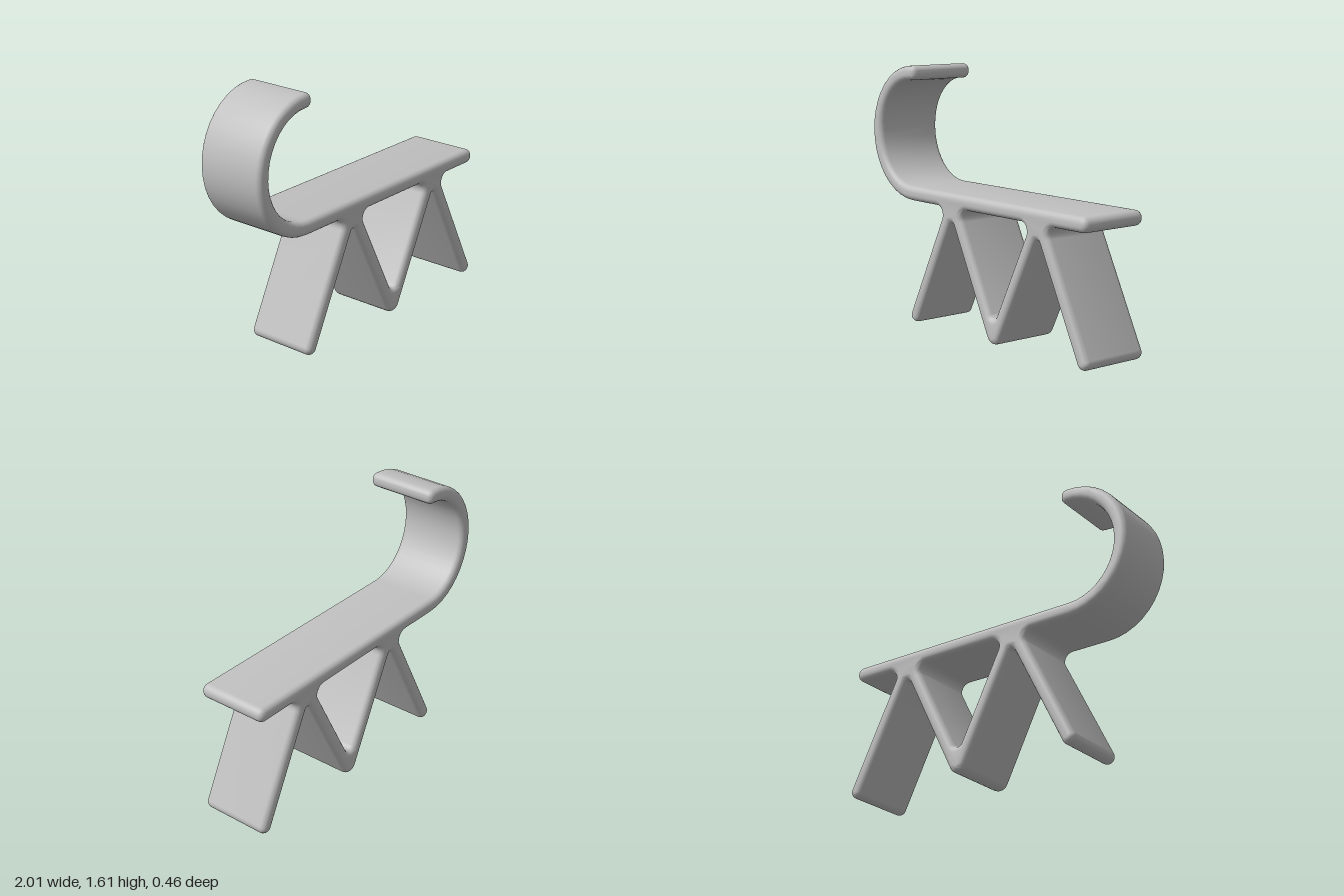
import * as THREE from 'three';
import { mergeVertices, toCreasedNormals } from 'three/addons/utils/BufferGeometryUtils.js';

const H = 0.043;          // half thickness of the legs
const W = H * Math.sqrt(1.25); // half width of a leg measured along x
const APEX = 0.8;         // height where the leg axes meet under the seat
const UNDER = 0.77;       // underside of the seat

// Turns corners [x, y, radius] into a smooth list of points
function roundCorners(corners, steps = 7) {
  const out = [];
  const n = corners.length;
  corners.forEach(([x, y, r], i) => {
    const p = new THREE.Vector2(x, y);
    if (!r) { out.push(p); return; }
    const [ax, ay] = corners[(i + n - 1) % n];
    const [bx, by] = corners[(i + 1) % n];
    const a = new THREE.Vector2(ax, ay).sub(p).normalize();
    const b = new THREE.Vector2(bx, by).sub(p).normalize();
    const half = Math.acos(THREE.MathUtils.clamp(a.dot(b), -1, 1)) / 2;
    const t = r / Math.tan(half);
    const c = a.clone().add(b).normalize().multiplyScalar(r / Math.sin(half)).add(p);
    const s = a.multiplyScalar(t).add(p).sub(c);
    const e = b.multiplyScalar(t).add(p).sub(c);
    const a0 = Math.atan2(s.y, s.x);
    let sweep = Math.atan2(e.y, e.x) - a0;
    if (sweep > Math.PI) sweep -= 2 * Math.PI;
    if (sweep < -Math.PI) sweep += 2 * Math.PI;
    for (let k = 0; k <= steps; k++) {
      const g = a0 + sweep * k / steps;
      out.push(new THREE.Vector2(c.x + r * Math.cos(g), c.y + r * Math.sin(g)));
    }
  });
  return out;
}

// Half ellipse of the curled backrest, angles in degrees
function curl(rx, ry, from, to, steps = 20) {
  const pts = [];
  for (let k = 0; k <= steps; k++) {
    const g = THREE.MathUtils.degToRad(from + (to - from) * k / steps);
    pts.push([-0.6 + rx * Math.cos(g), 1.19 + ry * Math.sin(g), 0]);
  }
  return pts;
}

// The two end corners of a free leg; side is -1 for a leg leaning to -x
function foot(apexX, side) {
  const d = new THREE.Vector2(side, -2).normalize();
  const nrm = new THREE.Vector2(-d.y, d.x);
  const y = H + 0.001;
  const c = new THREE.Vector2(apexX + side * (APEX - y) / 2, y).addScaledVector(d, H);
  return [-1, 1].map((k) => [c.x + nrm.x * H * k, c.y + nrm.y * H * k, H - 0.001]);
}

export function createModel() {
  const group = new THREE.Group();
  group.name = 'bench';
  const grey = new THREE.MeshStandardMaterial({ color: 0xc0c0c0 });
  grey.name = 'light grey';

  const a = -0.195, v = 0.195, b = 0.585; // leg apexes and the foot between them
  const off = (APEX - UNDER) / 2 + W;

  // Side profile: zigzag legs, seat and curled backrest in one ribbon
  const outline = roundCorners([
    [a - off, UNDER, 0.05],
    ...foot(a, -1),
    [a, APEX - 2 * W, 0.02],
    [v, 0.02 - 2 * W, 0.062],
    [b, APEX - 2 * W, 0.02],
    ...foot(b, 1),
    [b + off, UNDER, 0.05],
    [0.992, UNDER, 0.043], [0.992, 0.86, 0.043],
    ...curl(0.31, 0.33, 270, 90),
    [-0.558, 1.522, 0.038], [-0.558, 1.606, 0.038],
    ...curl(0.4, 0.42, 90, 270),
  ]);
  const shape = new THREE.Shape(outline);

  // Triangular opening between the middle legs
  shape.holes.push(new THREE.Path(roundCorners([
    [a + off, UNDER, 0.05],
    [b - off, UNDER, 0.05],
    [v, 0.02 + 2 * W, 0.035],
  ])));

  // Extrude across the width with softly rounded edges
  const bevel = 0.036, halfDepth = 0.228;
  let geo = new THREE.ExtrudeGeometry(shape, {
    depth: 2 * (halfDepth - bevel), bevelEnabled: true, bevelSize: bevel,
    bevelThickness: bevel, bevelOffset: -bevel, bevelSegments: 5, curveSegments: 1,
  });
  geo.translate(0, 0, bevel - halfDepth);
  geo.deleteAttribute('uv');
  geo.deleteAttribute('normal');
  geo = toCreasedNormals(mergeVertices(geo, 1e-4), 0.7);

  const ribbon = new THREE.Mesh(geo, grey);
  ribbon.name = 'seatBackrestAndLegs';
  group.add(ribbon);
  return group;
}
